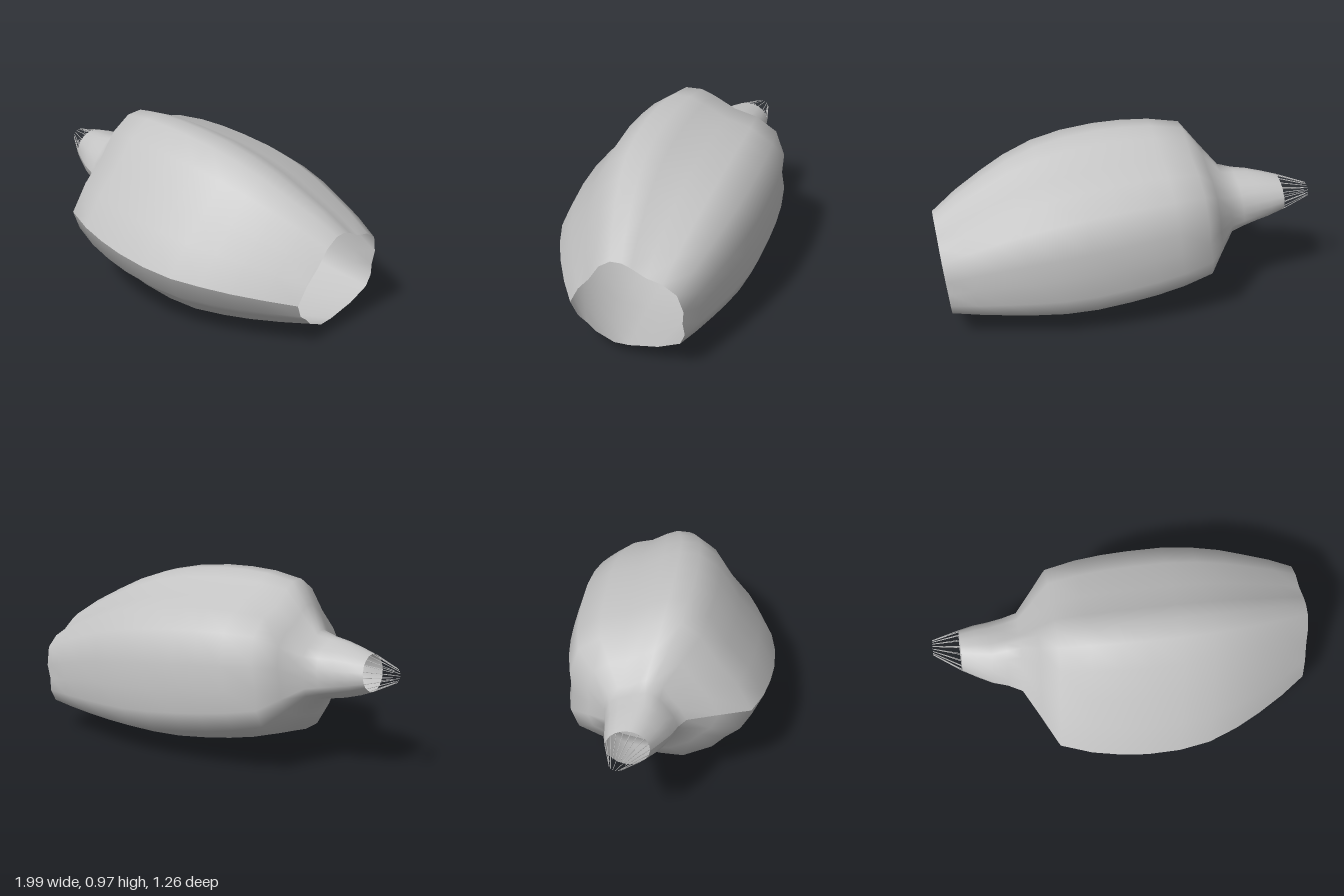
import * as THREE from 'three';

const V = (x, y, z) => new THREE.Vector3(x, y, z);

// Local frame: origin at the stem mouth, axis runs to the wide open end
const ORIGIN = V(-0.86, 0.56, -0.45);
const AXIS = V(0.916, -0.122, 0.381).normalize();
const SIDE = V(-0.384, 0, 0.923).normalize();
const UP = SIDE.clone().cross(AXIS).normalize();

const at = (t, u, v) => ORIGIN.clone()
  .addScaledVector(AXIS, t).addScaledVector(SIDE, u).addScaledVector(UP, v);

// Rounded five-cornered cross-section, starting and ending at the front seam
const SECTION = [
  [0.685, -0.05], [0.59, 0.13], [0.47, 0.27], [0.36, 0.44], [0.24, 0.525], [0.13, 0.53],
  [0.04, 0.495], [-0.1, 0.42], [-0.25, 0.385], [-0.385, 0.295], [-0.44, 0.12],
  [-0.425, -0.02], [-0.44, -0.145], [-0.39, -0.26], [-0.17, -0.36], [-0.02, -0.39],
  [0.12, -0.42], [0.27, -0.425], [0.45, -0.34], [0.53, -0.26], [0.62, -0.19], [0.685, -0.05],
];

// Stem mouth is slightly flattened
const STEM_FLATTEN = 0.86;

// Stations: distance, scale, side shift, up shift, roundness, round radius
const STATIONS = [
  [0, 0.2, 0, 0, 1, 0.113],
  [0.08, 0.25, 0.01, 0, 0.9, 0.145],
  [0.16, 0.3, 0.02, 0, 0.75, 0.17],
  [0.24, 0.34, 0.01, 0, 0.4, 0.185],
  [0.315, 0.38, 0, 0, 0, 0],
  [0.4, 0.61, 0, 0, 0, 0],
  [0.485, 0.85, 0, 0, 0, 0],
  [0.65, 0.93, 0, 0, 0, 0],
  [0.8, 0.97, 0, 0, 0, 0],
  [0.95, 0.99, 0, 0, 0, 0],
  [1.13, 0.99, -0.005, 0, 0, 0],
  [1.3, 0.955, -0.01, 0, 0, 0],
  [1.46, 0.88, -0.02, 0, 0, 0],
  [1.6, 0.79, -0.03, -0.005, 0, 0],
  [1.75, 0.68, -0.045, -0.01, 0, 0],
  [1.89, 0.555, -0.06, -0.02, 0, 0],
];

function shellGeometry() {
  const positions = [], index = [], n = SECTION.length;
  STATIONS.forEach(([t, scale, du, dv, round, radius], i) => {
    SECTION.forEach(([u, v], j) => {
      const a = Math.atan2(v, u);
      const pu = THREE.MathUtils.lerp(u * scale, Math.cos(a) * radius, round) + du;
      const pv = THREE.MathUtils.lerp(v * scale, Math.sin(a) * radius * STEM_FLATTEN, round) + dv;
      positions.push(...at(t, pu, pv).toArray());
      if (i && j) {
        const d = i * n + j, c = d - 1, b = d - n, e = b - 1;
        index.push(e, c, b, b, c, d);
      }
    });
  });
  const g = new THREE.BufferGeometry();
  g.setAttribute('position', new THREE.Float32BufferAttribute(positions, 3));
  g.setIndex(index);
  g.computeVertexNormals();
  return g;
}

// Thin rod between two points
function rod(a, b, radius, material) {
  const dir = b.clone().sub(a);
  const m = new THREE.Mesh(new THREE.CylinderGeometry(radius, radius, dir.length(), 4), material);
  m.position.copy(a).add(b).multiplyScalar(0.5);
  m.quaternion.setFromUnitVectors(V(0, 1, 0), dir.normalize());
  return m;
}

export function createModel() {
  const grey = new THREE.MeshStandardMaterial({ color: 0xc4c4c4, side: THREE.DoubleSide });
  grey.name = 'light grey';

  const content = new THREE.Group();
  content.name = 'pod';

  // Open shell: stem, shoulder and body in one skin
  const shell = new THREE.Mesh(shellGeometry(), grey);
  shell.name = 'shell';
  content.add(shell);

  // Fine bristles narrowing from the stem mouth to the tip
  const bristles = new THREE.Group();
  bristles.name = 'stemBristles';
  const COUNT = 18;
  for (let i = 0; i < COUNT; i++) {
    const a = (i / COUNT) * Math.PI * 2, c = Math.cos(a), s = Math.sin(a);
    const bristle = rod(at(0, c * 0.111, s * 0.111 * STEM_FLATTEN),
      at(-0.147, c * 0.04 - 0.03, s * 0.036), 0.002, grey);
    bristle.name = 'bristle';
    bristles.add(bristle);
  }
  content.add(bristles);

  // Rest on the ground, centred
  const box = new THREE.Box3().setFromObject(content, true);
  const mid = box.getCenter(V(0, 0, 0));
  content.position.set(-mid.x, -box.min.y, -mid.z);

  const model = new THREE.Group();
  model.name = 'model';
  model.add(content);
  return model;
}
